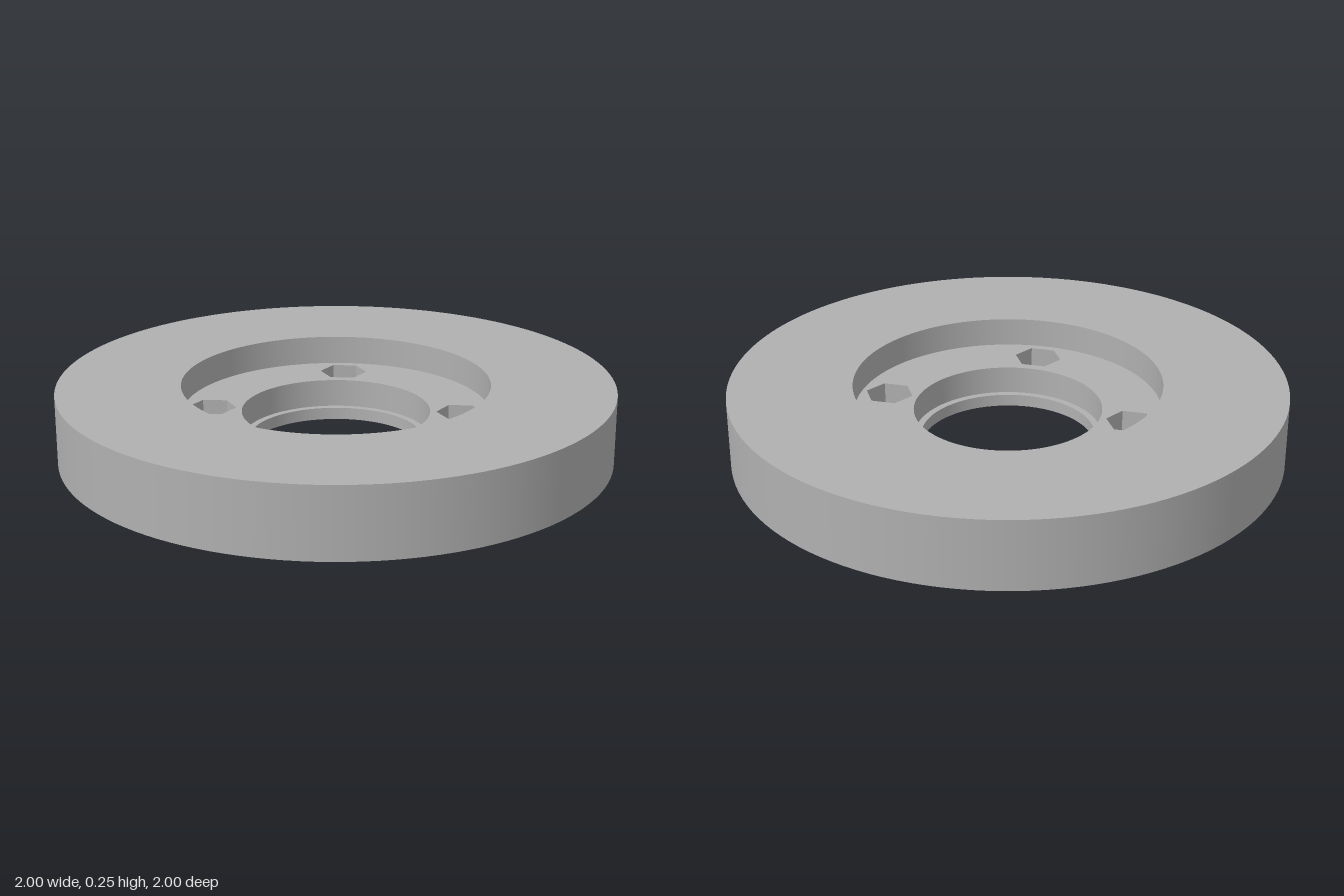
import * as THREE from 'three';

const SEG = 128;
const TOP = 0.255, FLOOR = 0.148, LEDGE = 0.045;      // main levels
const SLOT = 0.039, SQUARE = 0.033;                   // steps under each nut pocket
const R_OUT = 1, R_RECESS = 0.555, R_BORE = 0.34, R_HOLE = 0.315;
const R_BOLT = 0.045, R_NUT = 0.088, FLAT = R_NUT * Math.sqrt(3) / 2;
const BOLT_CIRCLE = 0.45;

// Outlines as point lists in the horizontal plane
const ring = (r, n = SEG) => Array.from({ length: n }, (_, i) => {
  const a = (i / n) * Math.PI * 2;
  return new THREE.Vector2(Math.cos(a) * r, Math.sin(a) * r);
});
const rect = (w, d) => [[w, d], [-w, d], [-w, -d], [w, -d]].map(p => new THREE.Vector2(...p));
const moved = (pts, x, z) => pts.map(p => new THREE.Vector2(p.x + x, p.y - z));

export function createModel() {
  const model = new THREE.Group();
  model.name = 'flangeDisc';
  const grey = new THREE.MeshStandardMaterial({ color: 0xb0b0b0 });
  grey.name = 'grey';

  function add(parent, name, geometry) {
    const mesh = new THREE.Mesh(geometry, grey);
    mesh.name = name;
    parent.add(mesh);
  }

  // Horizontal face with holes, facing up or down
  function face(parent, name, y, outline, holes, up = true) {
    const shape = new THREE.Shape(outline);
    shape.holes = holes.map(h => new THREE.Path(h));
    const g = new THREE.ShapeGeometry(shape);
    g.rotateX(up ? -Math.PI / 2 : Math.PI / 2);
    add(parent, name, g.translate(0, y, 0));
  }

  // Smooth round wall; the profile runs upward for outside, downward for inside
  function roundWall(parent, name, r, from, to, n = SEG) {
    const g = new THREE.LatheGeometry(
      [new THREE.Vector2(r, from), new THREE.Vector2(r, to)], n, Math.PI / 2);
    add(parent, name, g);
  }

  // Flat-sided inward-facing wall around a convex outline
  function facetedWall(parent, name, pts, low, high) {
    const v = [];
    pts.forEach((p, i) => {
      const q = pts[(i + 1) % pts.length];
      const a = [p.x, low, -p.y], b = [q.x, low, -q.y];
      const c = [q.x, high, -q.y], d = [p.x, high, -p.y];
      v.push(...a, ...c, ...b, ...a, ...d, ...c);
    });
    const g = new THREE.BufferGeometry();
    g.setAttribute('position', new THREE.Float32BufferAttribute(v, 3));
    g.computeVertexNormals();
    add(parent, name, g);
  }

  const hex = ring(R_NUT, 6);
  const slot = rect(R_BOLT, FLAT);
  const square = rect(R_BOLT, R_BOLT);
  const bolt = ring(R_BOLT * 0.995, 32);
  const centres = [[1, 0], [0, 1], [-1, 0], [0, -1]].map(c => c.map(k => k * BOLT_CIRCLE));
  const atBolts = pts => centres.map(([x, z]) => moved(pts, x, z));

  // Disc body
  roundWall(model, 'outerRim', R_OUT, 0, TOP);
  roundWall(model, 'recessWall', R_RECESS, TOP, FLOOR);
  roundWall(model, 'boreWall', R_BORE, FLOOR, LEDGE);
  roundWall(model, 'centreHoleWall', R_HOLE, LEDGE, 0);
  face(model, 'topFace', TOP, ring(R_OUT), [ring(R_RECESS)]);
  face(model, 'recessFloor', FLOOR, ring(R_RECESS), [ring(R_BORE), ...atBolts(hex)]);
  face(model, 'boreLedge', LEDGE, ring(R_BORE), [ring(R_HOLE)]);
  face(model, 'underside', 0, ring(R_OUT), [ring(R_HOLE), ...atBolts(bolt)], false);

  // Four hexagonal nut pockets, each stepping down to a round bolt hole
  centres.forEach(([x, z]) => {
    const pocket = new THREE.Group();
    pocket.name = 'nutPocket';
    pocket.position.set(x, 0, z);
    facetedWall(pocket, 'hexWall', hex, LEDGE, FLOOR);
    face(pocket, 'hexSeat', LEDGE, hex, [slot.map(p => new THREE.Vector2(p.x, p.y * 0.999))]);
    facetedWall(pocket, 'slotWall', slot, SLOT, LEDGE);
    // Slot ends on either side of the square opening
    [1, -1].forEach(s => {
      const strip = rect(R_BOLT, (FLAT - R_BOLT) / 2);
      face(pocket, 'slotStep', SLOT, moved(strip, 0, s * (FLAT + R_BOLT) / 2), []);
    });
    facetedWall(pocket, 'squareWall', square, SQUARE, SLOT);
    face(pocket, 'squareStep', SQUARE, square, [bolt]);
    roundWall(pocket, 'boltHoleWall', R_BOLT * 0.995, SQUARE, 0, 32);
    model.add(pocket);
  });

  return model;
}
